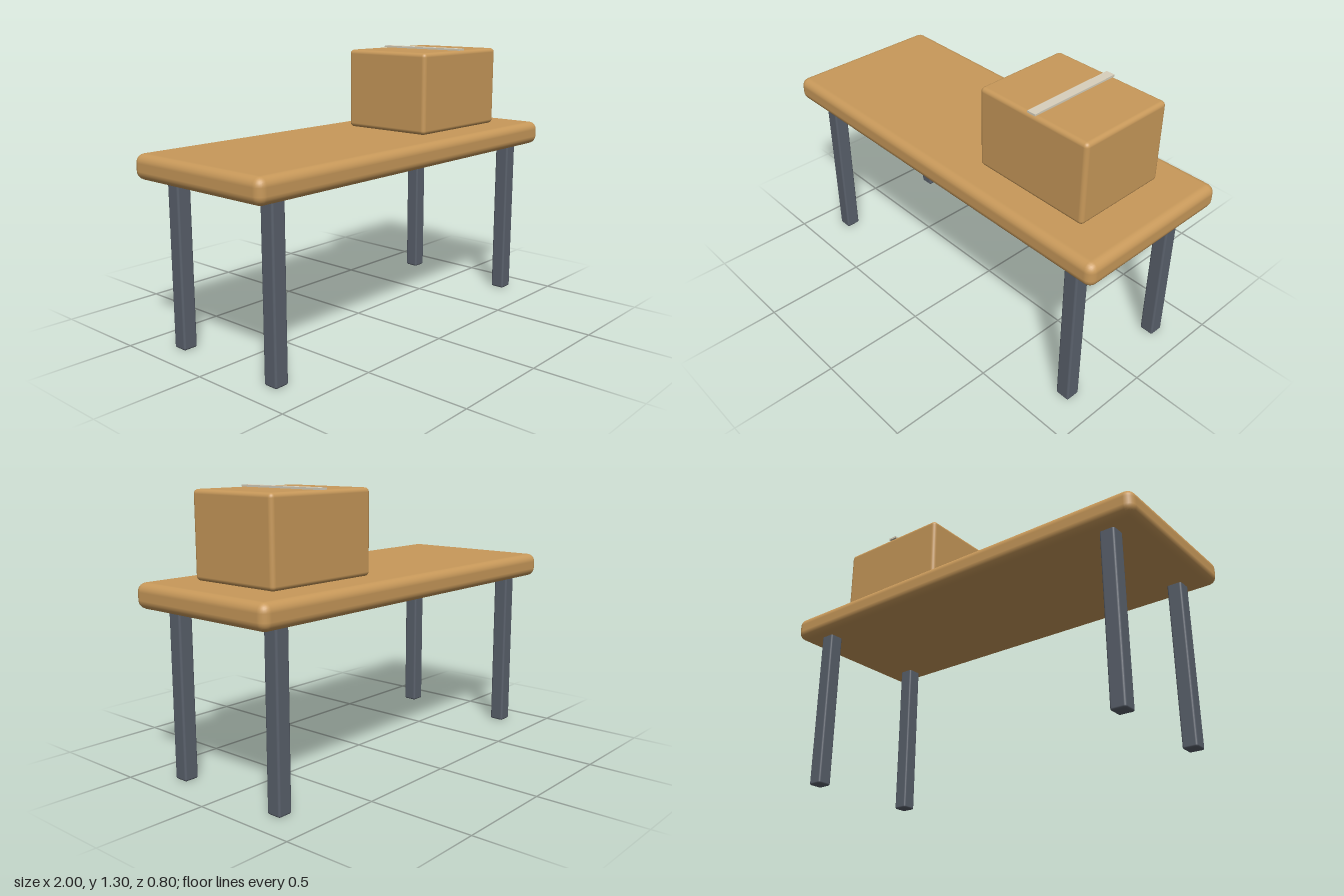
import * as THREE from 'three';
import { RoundedBoxGeometry } from 'three/addons/geometries/RoundedBoxGeometry.js';

function material(name, color) {
  const m = new THREE.MeshStandardMaterial({ color });
  m.name = name;
  return m;
}

export function createModel() {
  const group = new THREE.Group();
  group.name = 'tableWithBox';

  const wood = material('warm wood', 0xc8995a);
  const steel = material('slate grey', 0x5a616c);
  const tapeColor = material('pale tape', 0xd8d0bc);

  // Rounded block placed by its base height
  function block(name, mat, [w, h, d], [x, base, z], radius) {
    const mesh = new THREE.Mesh(new RoundedBoxGeometry(w, h, d, 3, radius), mat);
    mesh.name = name;
    mesh.position.set(x, base + h / 2, z);
    group.add(mesh);
  }

  // Table top
  block('tableTop', wood, [2, 0.115, 0.8], [0, 0.785, 0], 0.04);

  // Four legs, running slightly into the top
  for (const [sx, side] of [[1, 'Left'], [-1, 'Right']]) {
    for (const [sz, end] of [[1, 'front'], [-1, 'back']]) {
      block(`${end}${side}Leg`, steel, [0.072, 0.81, 0.072], [sx * 0.84, 0, sz * 0.297], 0.01);
    }
  }

  // Carton on the table
  block('carton', wood, [0.6, 0.39, 0.48], [0.5, 0.9, 0], 0.02);

  // Tape strip across the carton lid
  const tape = new THREE.Mesh(new THREE.BoxGeometry(0.044, 0.009, 0.476), tapeColor);
  tape.name = 'tapeStrip';
  tape.position.set(0.5, 1.2945, 0);
  group.add(tape);

  return group;
}
